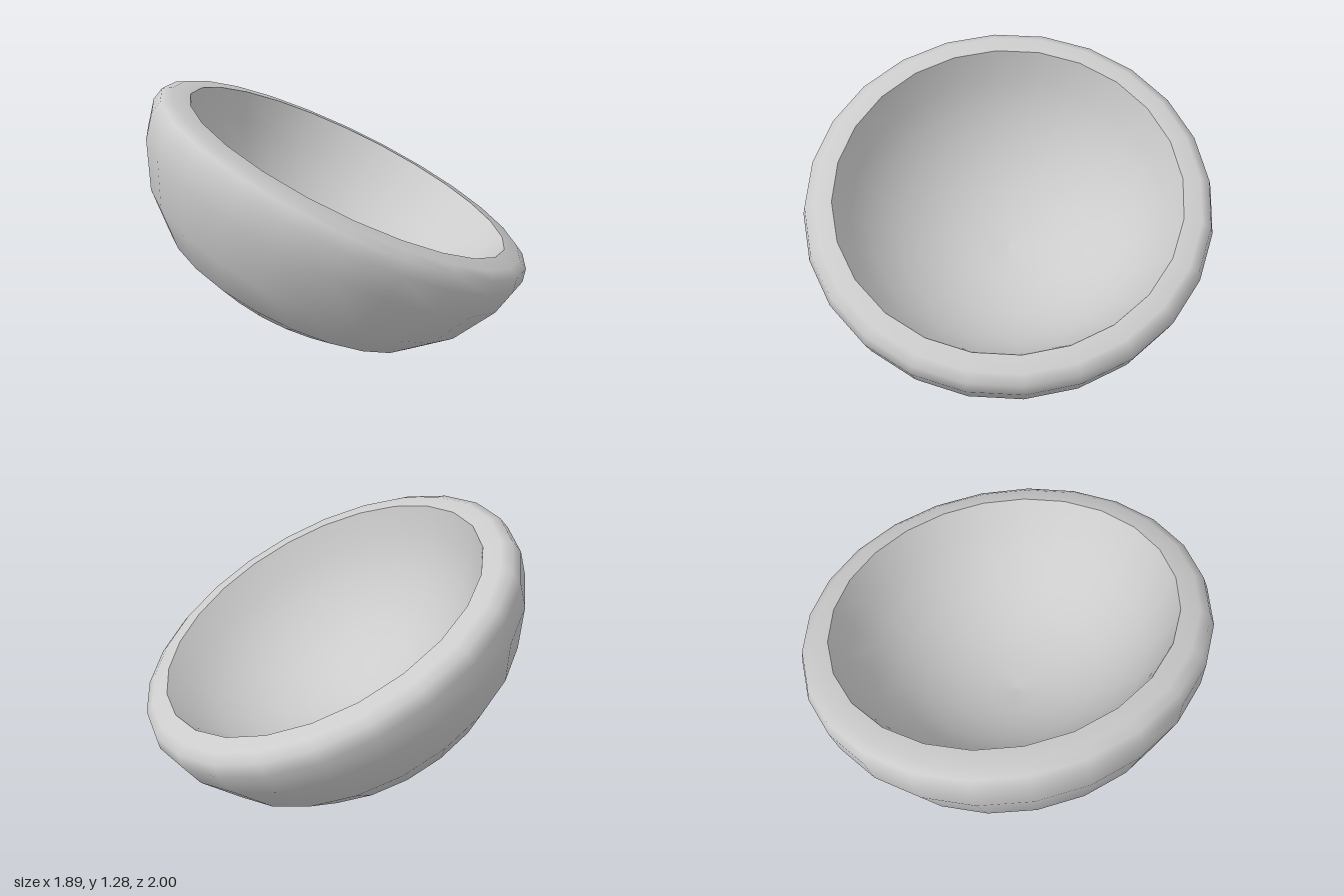
import * as THREE from 'three';

const SIDES = 24;
const MOUTH = 0.861; // radius of the opening
const DEPTH = 0.58; // depth of the hollow

// Revolve a [radius, height] profile into a smooth surface
function revolve(name, profile, material) {
  const points = profile.map(([r, h]) => new THREE.Vector2(r, h));
  const mesh = new THREE.Mesh(new THREE.LatheGeometry(points, SIDES), material);
  mesh.name = name;
  return mesh;
}

// Arc from the mouth down to the middle of the hollow
function hollowProfile(steps) {
  const radius = (MOUTH * MOUTH + DEPTH * DEPTH) / (2 * DEPTH);
  const halfAngle = Math.asin(MOUTH / radius);
  const profile = [];
  for (let i = 0; i <= steps; i++) {
    const a = halfAngle * (1 - i / steps);
    profile.push([radius * Math.sin(a), radius - DEPTH - radius * Math.cos(a)]);
  }
  return profile;
}

export function createModel() {
  const material = new THREE.MeshStandardMaterial({ color: 0xcccccc, side: THREE.DoubleSide });
  const model = new THREE.Group();
  model.name = 'tiltedBowl';

  const bowl = new THREE.Group();
  bowl.name = 'bowl';

  // Outer shell, from the flattened base up and over the rounded lip
  bowl.add(revolve('outerShell', [
    [0, -0.77], [0.25, -0.76], [0.49, -0.727], [0.705, -0.626], [0.872, -0.455], [0.988, -0.23],
    [1.014, -0.1], [0.998, -0.035], [0.95, -0.008], [MOUTH, 0],
  ], material));

  // Hollow, meeting the lip at a sharp edge
  bowl.add(revolve('innerHollow', hollowProfile(7), material));

  // Lean the bowl's axis towards its left and slightly forwards
  const axis = new THREE.Vector3(0.41, 0.9, 0.157).normalize();
  const side = new THREE.Vector3().crossVectors(axis, new THREE.Vector3(-0.052, -0.149, 0.987)).normalize();
  const forward = new THREE.Vector3().crossVectors(side, axis);
  bowl.quaternion.setFromRotationMatrix(new THREE.Matrix4().makeBasis(side, axis, forward));
  bowl.position.set(0.045, 0.868, 0.013);

  model.add(bowl);
  return model;
}
